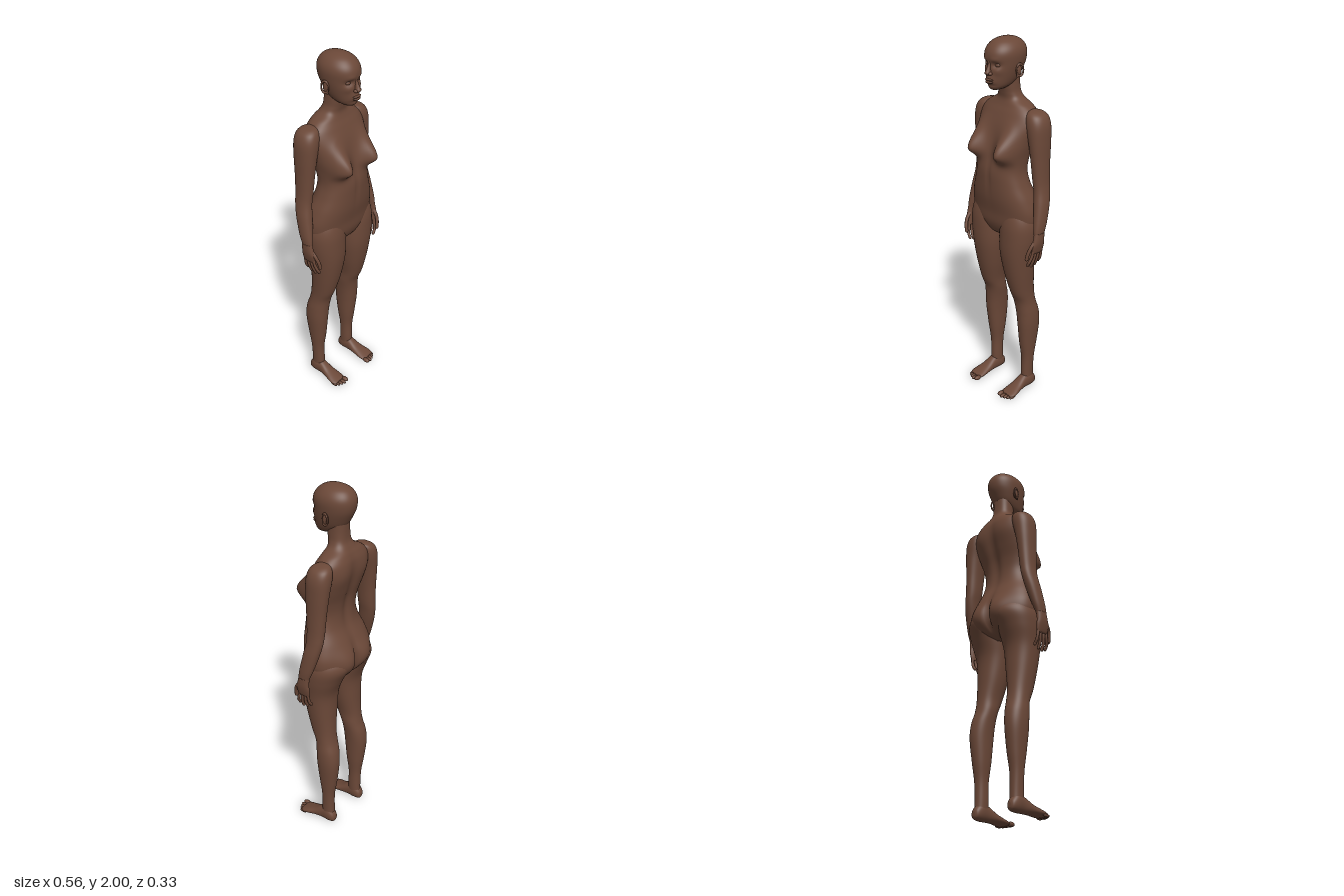
import * as THREE from 'three';
import { mergeGeometries } from 'three/addons/utils/BufferGeometryUtils.js';

const skin = new THREE.MeshStandardMaterial({ color: 0x6b4838 });
skin.name = 'brown skin';

const bell = (v, c, w) => Math.exp(-(((v - c) / w) ** 2));

// Joins pieces of one part; lofts carry no uv, so it is dropped everywhere
const join = (parts) => mergeGeometries(parts.map((g) => g.deleteAttribute('uv')));

// Smooth skin through horizontal rings, listed from bottom to top.
// Each row: [centre x, y, half width, front z, back z]
function loft(rows, { segs = 48, steps = 6, square = 2.2, warp } = {}) {
  const rings = [];
  for (let i = 0; i < rows.length - 1; i++) {
    const [a, b, c, d] = [rows[Math.max(i - 1, 0)], rows[i], rows[i + 1], rows[Math.min(i + 2, rows.length - 1)]];
    const last = i === rows.length - 2 ? 1 : 0;
    for (let k = 0; k < steps + last; k++) {
      const t = k / steps;
      rings.push(b.map((p1, n) => {
        const p0 = a[n], p2 = c[n], p3 = d[n];
        return 0.5 * (2 * p1 + (p2 - p0) * t + (2 * p0 - 5 * p1 + 4 * p2 - p3) * t * t
          + (3 * p1 - p0 - 3 * p2 + p3) * t * t * t);
      }));
    }
  }
  const pos = [], index = [], p = new THREE.Vector3();
  const put = (x, y, z) => {
    p.set(x, y, z);
    if (warp) warp(p);
    pos.push(p.x, p.y, p.z);
  };
  const power = (v) => Math.sign(v) * Math.abs(v) ** (2 / square);
  for (const [cx, y, rx, f, b] of rings) {
    for (let j = 0; j < segs; j++) {
      const t = (j / segs) * Math.PI * 2;
      put(cx + Math.max(rx, 0.0005) * power(Math.sin(t)), y,
        (f + b) / 2 + Math.max((f - b) / 2, 0.0005) * power(Math.cos(t)));
    }
  }
  const n = rings.length;
  for (let i = 0; i < n - 1; i++) {
    for (let j = 0; j < segs; j++) {
      const k = (j + 1) % segs, a = i * segs + j, b = i * segs + k;
      index.push(a, b, b + segs, a, b + segs, a + segs);
    }
  }
  // end caps
  for (const [i, flip] of [[0, true], [n - 1, false]]) {
    const r = rings[i], c = pos.length / 3;
    put(r[0], r[1], (r[3] + r[4]) / 2);
    for (let j = 0; j < segs; j++) {
      const a = i * segs + j, b = i * segs + ((j + 1) % segs);
      index.push(c, flip ? b : a, flip ? a : b);
    }
  }
  const g = new THREE.BufferGeometry();
  g.setAttribute('position', new THREE.Float32BufferAttribute(pos, 3));
  g.setIndex(index);
  g.computeVertexNormals();
  return g;
}

function ellipsoid(x, y, z, rx, ry, rz) {
  return new THREE.SphereGeometry(1, 20, 14).scale(rx, ry, rz).translate(x, y, z);
}

// Rounded finger along a bent path
function finger(points, r) {
  const path = new THREE.CatmullRomCurve3(points.map((p) => new THREE.Vector3(...p)));
  const tip = points[points.length - 1];
  return join([new THREE.TubeGeometry(path, 10, r, 10), ellipsoid(...tip, r, r * 1.3, r)]);
}

function mirrored(geo) {
  const g = geo.clone().scale(-1, 1, 1), ix = g.index.array;
  for (let i = 0; i < ix.length; i += 3) [ix[i], ix[i + 1]] = [ix[i + 1], ix[i]];
  return g;
}

// Chest, buttock and spine relief, shared by torso and thighs
function bodyRelief(p) {
  const ax = Math.abs(p.x), { y } = p;
  if (p.z > 0.01) {
    const fade = Math.min(1, (p.z - 0.01) / 0.04);
    p.z += fade * 0.083 * bell(ax, 0.105, 0.054) * bell(y, 1.435, y > 1.435 ? 0.095 : 0.048);
    p.z -= fade * 0.006 * bell(ax, 0, 0.012) * bell(y, 1.3, 0.1);
  } else if (p.z < -0.03) {
    const fade = Math.min(1, (-0.03 - p.z) / 0.05);
    p.z -= fade * 0.03 * bell(ax, 0.075, 0.075) * bell(y, 1.075, 0.085);
    p.z += fade * 0.03 * bell(ax, 0, 0.016) * bell(y, 1.05, 0.09);
    p.z += fade * 0.014 * bell(ax, 0, 0.03) * bell(y, 1.42, 0.2);
    p.z -= fade * 0.008 * bell(ax, 0.09, 0.05) * bell(y, 1.56, 0.07);
  }
}

// Eye sockets, brow, cheeks and lips
function faceRelief(p) {
  if (p.z < 0.04) return;
  const ax = Math.abs(p.x), { y } = p;
  p.z -= 0.014 * bell(ax, 0.036, 0.02) * bell(y, 1.874, 0.014);
  p.z += 0.004 * bell(ax, 0.032, 0.025) * bell(y, 1.9, 0.012);
  p.z += 0.005 * bell(ax, 0.048, 0.018) * bell(y, 1.842, 0.018);
  p.z += 0.008 * bell(ax, 0, 0.032) * bell(y, 1.795, 0.025);
  p.z -= 0.005 * bell(ax, 0, 0.03) * bell(y, 1.773, 0.007);
}

export function createModel() {
  const model = new THREE.Group();
  model.name = 'standing figure';
  const add = (name, geo) => {
    const m = new THREE.Mesh(geo, skin);
    m.name = name;
    model.add(m);
  };
  const pair = (name, geo) => {
    add('left ' + name, geo);
    add('right ' + name, mirrored(geo));
  };

  // Torso and neck
  add('torso', loft([
    [0, 0.945, 0.03, 0.03, -0.06], [0, 0.975, 0.11, 0.07, -0.105], [0, 1.03, 0.2, 0.094, -0.135],
    [0, 1.1, 0.217, 0.102, -0.137], [0, 1.18, 0.198, 0.115, -0.118], [0, 1.26, 0.165, 0.12, -0.088],
    [0, 1.33, 0.147, 0.119, -0.08], [0, 1.4, 0.152, 0.103, -0.088], [0, 1.48, 0.17, 0.086, -0.11],
    [0, 1.56, 0.186, 0.066, -0.126], [0, 1.62, 0.175, 0.043, -0.126], [0, 1.66, 0.135, 0.024, -0.114],
    [0, 1.69, 0.08, 0.015, -0.098], [0, 1.72, 0.06, 0.018, -0.084], [0, 1.76, 0.055, 0.025, -0.079],
    [0, 1.82, 0.054, 0.03, -0.078],
  ], { segs: 96, steps: 7, square: 2.35, warp: bodyRelief }));

  // Head
  add('head', loft([
    [0, 1.745, 0.018, 0.082, 0.035], [0, 1.752, 0.034, 0.093, 0.005], [0, 1.77, 0.053, 0.1, -0.035],
    [0, 1.8, 0.067, 0.104, -0.072], [0, 1.84, 0.079, 0.105, -0.096], [0, 1.88, 0.087, 0.106, -0.114],
    [0, 1.92, 0.09, 0.109, -0.12], [0, 1.95, 0.083, 0.098, -0.113], [0, 1.975, 0.065, 0.075, -0.094],
    [0, 1.99, 0.042, 0.048, -0.067], [0, 1.998, 0.018, 0.018, -0.036], [0, 2, 0.001, -0.005, -0.007],
  ], { segs: 96, square: 2.1, warp: faceRelief }));

  // Face details
  add('nose', join([
    loft([
      [0, 1.822, 0.006, 0.114, 0.09], [0, 1.828, 0.014, 0.125, 0.09], [0, 1.836, 0.015, 0.13, 0.09],
      [0, 1.85, 0.011, 0.123, 0.09], [0, 1.87, 0.009, 0.113, 0.085], [0, 1.895, 0.009, 0.107, 0.08],
    ], { segs: 24 }),
    ...[-1, 1].map((s) => ellipsoid(s * 0.014, 1.832, 0.11, 0.009, 0.009, 0.011)),
  ]));
  add('lips', join([
    ellipsoid(0, 1.8, 0.107, 0.027, 0.0065, 0.013), ellipsoid(0, 1.788, 0.106, 0.024, 0.0075, 0.014),
  ]));
  pair('eye', ellipsoid(0.035, 1.874, 0.078, 0.016, 0.011, 0.014));
  pair('ear', join([
    ellipsoid(0.086, 1.842, -0.012, 0.009, 0.03, 0.018),
    new THREE.TorusGeometry(0.022, 0.005, 8, 28).scale(0.85, 1.35, 1).rotateY(Math.PI / 2 - 0.3)
      .translate(0.093, 1.845, -0.014),
    ellipsoid(0.088, 1.817, -0.004, 0.006, 0.009, 0.008),
  ]));

  // Arms with rounded shoulders
  pair('arm', loft([
    [0.259, 1.0, 0.017, 0.028, -0.025], [0.258, 1.03, 0.02, 0.032, -0.034], [0.252, 1.08, 0.027, 0.026, -0.053],
    [0.238, 1.17, 0.034, 0.01, -0.08], [0.226, 1.24, 0.034, -0.001, -0.095], [0.217, 1.3, 0.036, 0, -0.099],
    [0.21, 1.4, 0.04, 0.006, -0.104], [0.202, 1.5, 0.048, 0.013, -0.112], [0.191, 1.575, 0.056, 0.016, -0.117],
    [0.181, 1.62, 0.051, 0.008, -0.112], [0.17, 1.643, 0.036, -0.01, -0.095], [0.16, 1.652, 0.012, -0.035, -0.07],
  ]));

  // Hands: palm, four fingers and thumb
  const hand = [loft([
    [0.252, 0.915, 0.006, 0.035, -0.022], [0.254, 0.925, 0.011, 0.043, -0.029], [0.259, 0.96, 0.015, 0.048, -0.033],
    [0.261, 0.99, 0.017, 0.04, -0.031], [0.259, 1.03, 0.019, 0.031, -0.033],
  ], { segs: 28 })];
  [[0.036, 0.052, 0.848], [0.017, 0.027, 0.838], [-0.002, 0.003, 0.843], [-0.02, -0.022, 0.858]].forEach(([z0, z1, y]) => {
    hand.push(finger([[0.254, 0.935, z0], [0.251, 0.9, (z0 * 2 + z1) / 3], [0.243, (y + 0.89) / 2, z1], [0.231, y, z1]], 0.0082));
  });
  hand.push(finger([[0.258, 0.99, 0.025], [0.254, 0.955, 0.053], [0.247, 0.925, 0.065], [0.24, 0.893, 0.069]], 0.0095));
  pair('hand', join(hand));

  // Legs
  pair('leg', loft([
    [0.127, 0.03, 0.029, -0.02, -0.092], [0.126, 0.1, 0.03, -0.017, -0.09], [0.128, 0.2, 0.033, -0.018, -0.092],
    [0.128, 0.3, 0.043, -0.005, -0.107], [0.13, 0.42, 0.053, 0.007, -0.12], [0.126, 0.5, 0.057, 0.012, -0.114],
    [0.118, 0.57, 0.058, 0.022, -0.094], [0.116, 0.64, 0.061, 0.05, -0.084], [0.11, 0.75, 0.078, 0.078, -0.08],
    [0.107, 0.87, 0.094, 0.097, -0.083], [0.11, 0.97, 0.106, 0.1, -0.113], [0.112, 1.05, 0.105, 0.095, -0.13],
    [0.105, 1.12, 0.085, 0.075, -0.1], [0.09, 1.18, 0.05, 0.03, -0.05],
  ], { segs: 56, warp: bodyRelief }));

  // Feet, lofted from heel to toes and laid flat
  const foot = [loft([
    [0.128, -0.104, 0.01, -0.022, -0.045], [0.128, -0.095, 0.024, -0.008, -0.065], [0.128, -0.065, 0.032, -0.002, -0.095],
    [0.128, -0.02, 0.031, -0.003, -0.085], [0.13, 0.03, 0.037, -0.004, -0.056], [0.133, 0.07, 0.044, -0.002, -0.039],
    [0.133, 0.1, 0.044, -0.003, -0.027], [0.131, 0.115, 0.036, -0.006, -0.02],
  ], { segs: 36 }).rotateX(Math.PI / 2)];
  [[0.101, 0.124, 0.0135], [0.122, 0.127, 0.0095], [0.14, 0.12, 0.009], [0.156, 0.111, 0.0085], [0.17, 0.1, 0.008]]
    .forEach(([x, z, r]) => foot.push(ellipsoid(x, r * 0.95, z, r, r * 0.95, 0.022)));
  pair('foot', join(foot));

  return model;
}
